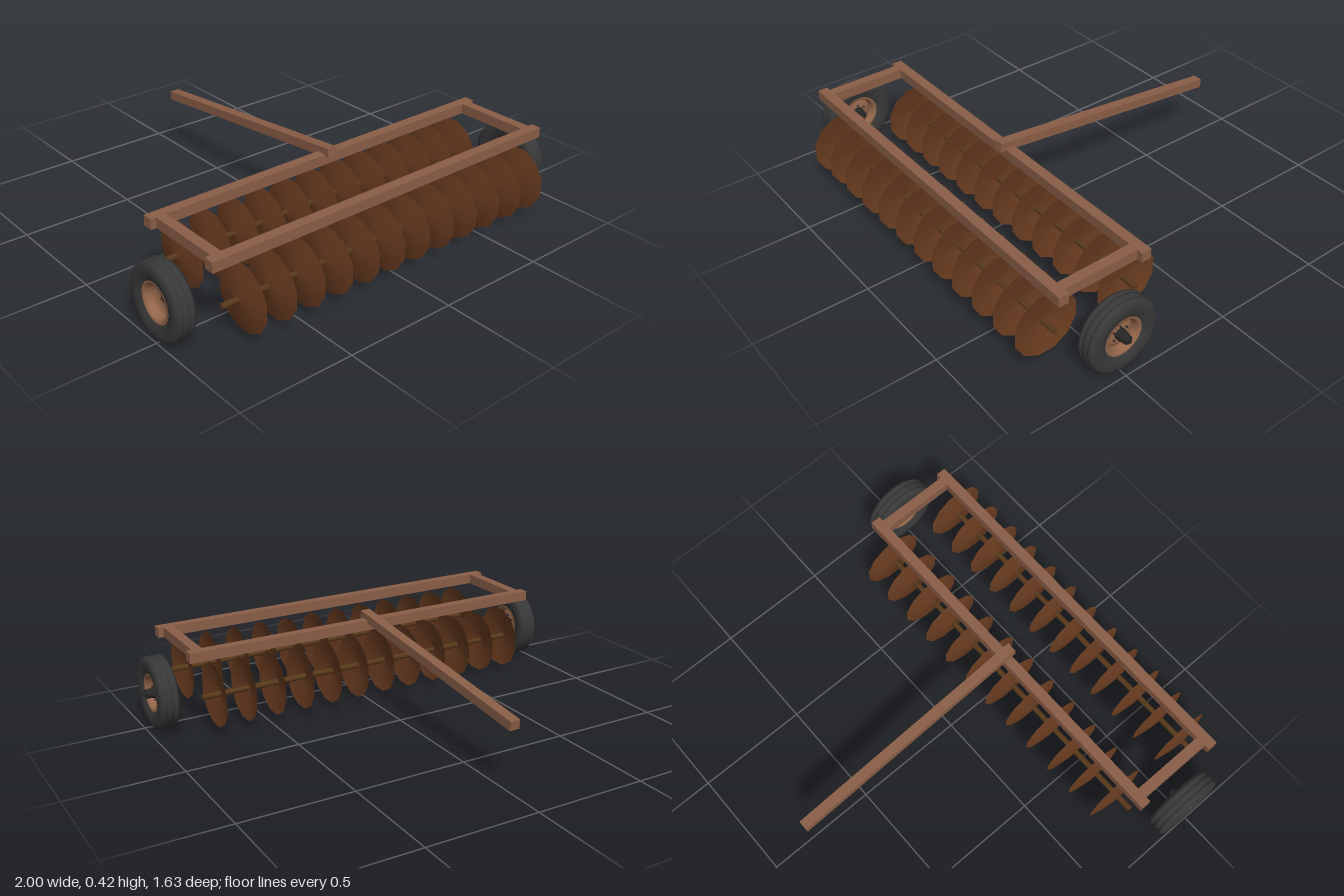
import * as THREE from 'three';

const CX = -0.0125; // the frame sits slightly off the wheel midline

const paint = (name, color, side = THREE.FrontSide) => {
  const m = new THREE.MeshStandardMaterial({ color, side });
  m.name = name;
  return m;
};

export function createModel() {
  const group = new THREE.Group();
  group.name = 'discHarrow';
  const frameMat = paint('frame brown', 0x8a5e47);
  const rimMat = paint('rim copper', 0x94664a, THREE.DoubleSide);
  const discMat = paint('rusty disc', 0x6a3c20, THREE.DoubleSide);
  const axleMat = paint('axle brown', 0x5a3a1c);
  const tyreMat = paint('tyre black', 0x383838);
  const hubMat = paint('hub black', 0x262626);

  const add = (name, geo, mat, x, y, z, parent = group) => {
    const mesh = new THREE.Mesh(geo, mat);
    mesh.name = name;
    mesh.position.set(x, y, z);
    parent.add(mesh);
    return mesh;
  };
  const lathe = (pts, sides, start = 0) =>
    new THREE.LatheGeometry(pts.map(([r, y]) => new THREE.Vector2(r, y)), sides, start);

  // Frame: two long beams joined by two short bars
  const T = 0.045, frameY = 0.367;
  for (const z of [0.29, 0.674]) {
    add('frameBeam', new THREE.BoxGeometry(1.735, T, T), frameMat, CX, frameY, z);
  }
  for (const s of [-1, 1]) {
    add('frameSideBar', new THREE.BoxGeometry(T, T, 0.339), frameMat, CX + s * 0.82, frameY, 0.482);
  }

  // Sloping drawbar
  const bar = add('drawbar', new THREE.BoxGeometry(T, 0.04, 1.155), frameMat, CX, 0.341, -0.242);
  bar.rotation.x = -0.106;

  // Two gangs of twelve dished discs, each on a thin axle
  const discGeo = lathe([[0.004, -0.026], [0.075, -0.016], [0.145, 0]], 12, Math.PI / 12);
  const axleGeo = new THREE.CylinderGeometry(0.013, 0.013, 1.635, 6);
  for (const z of [0.29, 0.674]) {
    const gang = new THREE.Group();
    gang.name = 'discGang';
    gang.position.set(CX, 0.178, z);
    group.add(gang);
    add('gangAxle', axleGeo, axleMat, 0, 0, 0, gang).rotation.z = -Math.PI / 2;
    for (let i = 0; i < 12; i++) {
      add('disc', discGeo, discMat, 0.019 + (i - 5.5) * 0.135, 0, 0, gang).rotation.z = -Math.PI / 2;
    }
  }

  // Wheel profiles as [radius, position along the axle]
  const tyreGeo = lathe([
    [0.086, -0.034], [0.105, -0.043], [0.13, -0.046], [0.15, -0.042], [0.159, -0.033],
    [0.161, -0.026], [0.159, -0.019], [0.154, -0.015], [0.159, -0.011], [0.162, 0],
    [0.159, 0.011], [0.154, 0.015], [0.159, 0.019], [0.161, 0.026], [0.159, 0.033],
    [0.15, 0.042], [0.13, 0.046], [0.105, 0.043], [0.086, 0.034],
  ], 36);
  const rimGeo = lathe([
    [0.088, -0.034], [0.076, -0.036], [0.07, -0.024], [0.064, 0],
    [0.07, 0.024], [0.076, 0.036], [0.088, 0.034],
  ], 32);
  const plateGeo = lathe([[0.066, 0], [0.056, 0.004], [0.045, 0.012], [0.012, 0.012]], 32);

  // Both wheels face the same way, with the hub on the +x side
  for (const x of [-0.954, 0.93]) {
    const wheel = new THREE.Group();
    wheel.name = 'wheel';
    wheel.position.set(x, 0.162, 0.486);
    wheel.rotation.z = -Math.PI / 2;
    group.add(wheel);
    add('tyre', tyreGeo, tyreMat, 0, 0, 0, wheel);
    add('rim', rimGeo, rimMat, 0, 0, 0, wheel);
    add('rimPlate', plateGeo, rimMat, 0, 0, 0, wheel);
    add('hub', new THREE.CylinderGeometry(0.019, 0.025, 0.05, 16), hubMat, 0, 0.034, 0, wheel);
    add('hubCap', new THREE.CylinderGeometry(0.009, 0.011, 0.012, 12), hubMat, 0, 0.064, 0, wheel);
    for (let i = 0; i < 6; i++) {
      const a = (i * Math.PI) / 3;
      add('wheelNut', new THREE.CylinderGeometry(0.004, 0.004, 0.008, 6), hubMat,
        0.035 * Math.cos(a), 0.015, 0.035 * Math.sin(a), wheel);
    }
  }
  return group;
}
